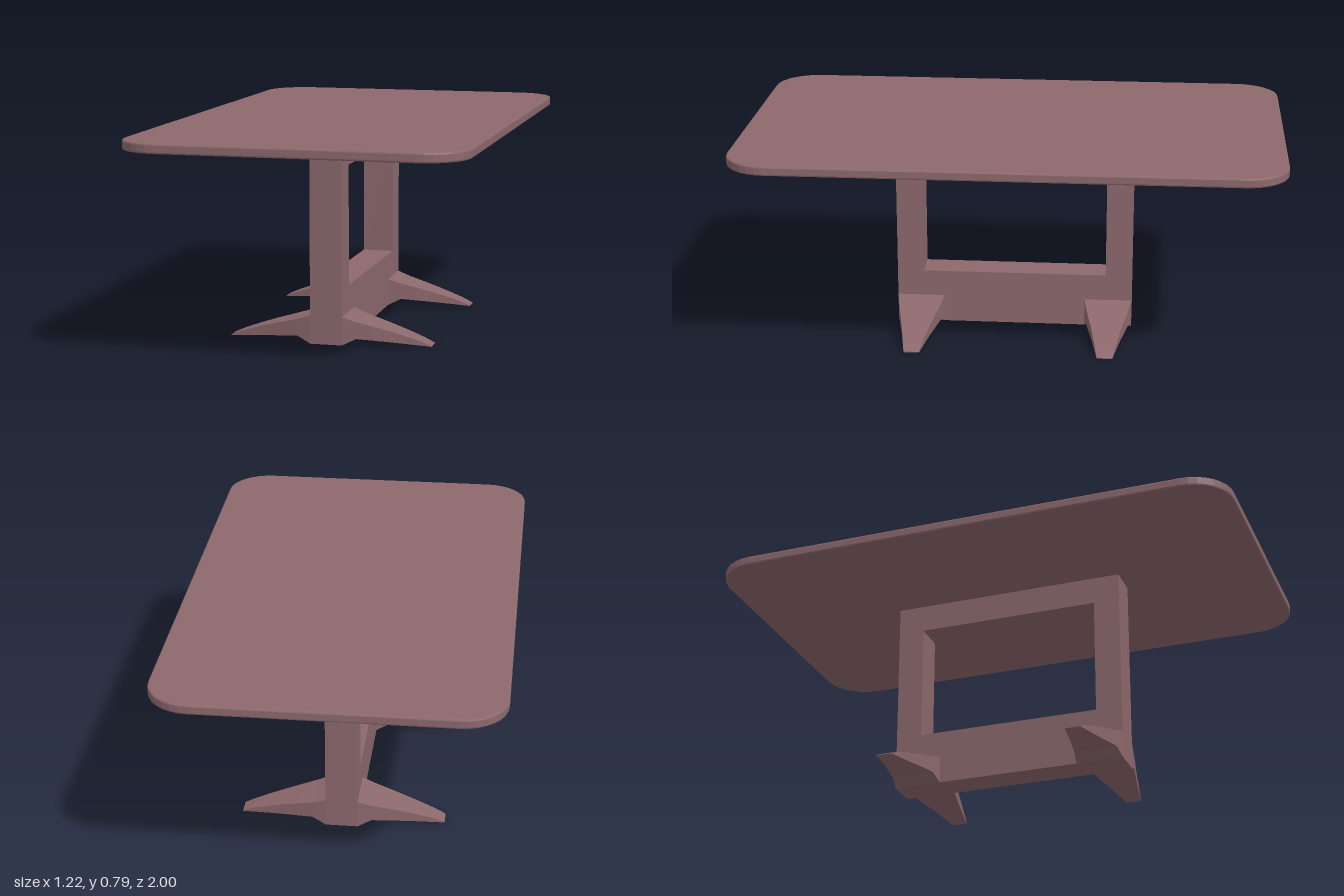
import * as THREE from 'three';

const material = new THREE.MeshStandardMaterial({ color: 0x8c686c, flatShading: true });

function part(name, geometry, parent) {
  const mesh = new THREE.Mesh(geometry, material);
  mesh.name = name;
  parent.add(mesh);
  return mesh;
}

// Rounded rectangular slab with softened rims
function tableTopGeometry() {
  const b = 0.006, w = 0.61 - b, d = 1 - b, r = 0.16 - b;
  const s = new THREE.Shape();
  s.moveTo(w, -d + r);
  s.lineTo(w, d - r);
  s.absarc(w - r, d - r, r, 0, Math.PI / 2);
  s.absarc(-w + r, d - r, r, Math.PI / 2, Math.PI);
  s.absarc(-w + r, -d + r, r, Math.PI, Math.PI * 1.5);
  s.absarc(w - r, -d + r, r, Math.PI * 1.5, Math.PI * 2);
  const g = new THREE.ExtrudeGeometry(s, {
    depth: 0.035 - 2 * b, bevelSize: b, bevelThickness: b, bevelSegments: 2, curveSegments: 4,
  });
  return g.rotateX(-Math.PI / 2).translate(0, 0.755 + b, 0);
}

// Upright frame with a rectangular opening, thickness along x
function frameGeometry() {
  const rect = (path, w, y0, y1) =>
    path.moveTo(-w, y0).lineTo(w, y0).lineTo(w, y1).lineTo(-w, y1).closePath();
  const s = rect(new THREE.Shape(), 0.45, 0, 0.756);
  s.holes.push(rect(new THREE.Path(), 0.35, 0.205, 0.65));
  const g = new THREE.ExtrudeGeometry(s, { depth: 0.12, bevelEnabled: false });
  return g.translate(0, 0, -0.06).rotateY(Math.PI / 2);
}

// Tapering foot: a box whose stations follow [x, bottom, top, half width]
function footGeometry() {
  const stations = [
    [0.06, 0, 0.105, 0.09],
    [0.11, 0.025, 0.088, 0.081],
    [0.17, 0.02, 0.072, 0.069],
    [0.235, 0.014, 0.054, 0.055],
    [0.29, 0.009, 0.037, 0.045],
    [0.34, 0.004, 0.02, 0.036],
    [0.38, 0, 0.003, 0.029],
  ];
  const n = stations.length - 1;
  const g = new THREE.BoxGeometry(1, 1, 1, n, 1, 1);
  const p = g.attributes.position;
  for (let i = 0; i < p.count; i++) {
    const [x, y0, y1, hw] = stations[Math.round((p.getX(i) + 0.5) * n)];
    p.setXYZ(i, x, p.getY(i) > 0 ? y1 : y0, Math.sign(p.getZ(i)) * hw);
  }
  g.computeVertexNormals();
  return g;
}

export function createModel() {
  const table = new THREE.Group();
  table.name = 'table';
  part('tableTop', tableTopGeometry(), table);
  part('frame', frameGeometry(), table);

  // Two feet at each end, one on either side of the frame
  const foot = footGeometry();
  for (const [end, z] of [['front', 0.36], ['back', -0.36]]) {
    for (const [side, turn] of [['Left', 0], ['Right', Math.PI]]) {
      const mesh = part(`${end}${side}Foot`, foot, table);
      mesh.position.z = z;
      mesh.rotation.y = turn;
    }
  }
  return table;
}
